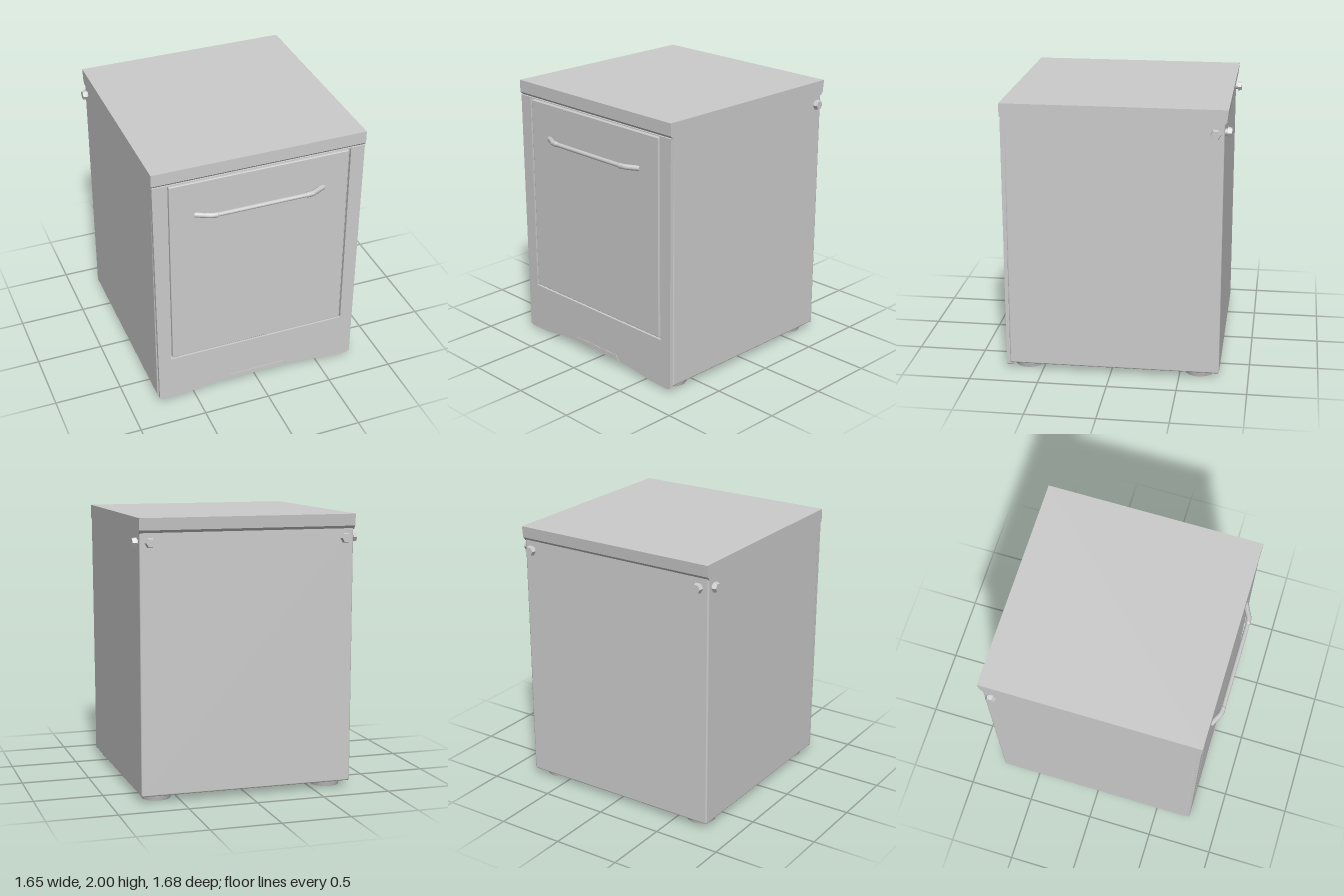
import * as THREE from 'three';
import { RoundedBoxGeometry } from 'three/addons/geometries/RoundedBoxGeometry.js';
import { toCreasedNormals } from 'three/addons/utils/BufferGeometryUtils.js';

const grey = new THREE.MeshStandardMaterial({ color: 0xcccccc });

function part(parent, name, geometry, x = 0, y = 0, z = 0) {
  const mesh = new THREE.Mesh(geometry, grey);
  mesh.name = name;
  mesh.position.set(x, y, z);
  parent.add(mesh);
  return mesh;
}

const polygon = (points) => new THREE.Shape(points.map(([x, y]) => new THREE.Vector2(x, y)));

function extrude(shape, depth) {
  return new THREE.ExtrudeGeometry(shape, { depth, bevelEnabled: false, curveSegments: 10 });
}

export function createModel() {
  const model = new THREE.Group();
  model.name = 'underCounterAppliance';

  // Cabinet core behind the front frame
  part(model, 'cabinet', new RoundedBoxGeometry(1.57, 1.88, 1.535, 2, 0.012), 0, 0.985, -0.0225);

  // Worktop: side profile with tucked lower edges, extruded across the width
  const topProfile = polygon([
    [-0.775, 2], [-0.775, 1.91], [-0.755, 1.89], [0.785, 1.89], [0.805, 1.915], [0.815, 2],
  ]);
  const topGeometry = extrude(topProfile, 1.58);
  topGeometry.rotateY(Math.PI / 2);
  part(model, 'worktop', topGeometry, -0.79);

  // Front frame with door opening and gently arched lower edge
  const frame = new THREE.Shape();
  frame.moveTo(-0.775, 0.035);
  frame.lineTo(-0.75, 0.02);
  frame.lineTo(-0.56, 0.025);
  frame.quadraticCurveTo(-0.38, 0.055, -0.24, 0.06);
  frame.lineTo(0.24, 0.06);
  frame.quadraticCurveTo(0.38, 0.055, 0.56, 0.025);
  frame.lineTo(0.75, 0.02);
  frame.lineTo(0.775, 0.035);
  frame.lineTo(0.785, 1.89);
  frame.lineTo(-0.785, 1.89);
  frame.closePath();
  frame.holes.push(new THREE.Path([
    new THREE.Vector2(-0.68, 0.385), new THREE.Vector2(-0.68, 1.885),
    new THREE.Vector2(0.68, 1.885), new THREE.Vector2(0.68, 0.385),
  ]));
  part(model, 'frontFrame', extrude(frame, 0.04), 0, 0, 0.73);

  // Door panel set in the opening with a narrow groove around it
  part(model, 'door', new RoundedBoxGeometry(1.332, 1.476, 0.05, 2, 0.006), 0, 1.135, 0.746);

  // Shallow tab in the middle of the plinth
  const tab = polygon([[-0.24, 0.062], [0.24, 0.062], [0.215, 0.1], [-0.215, 0.1]]);
  part(model, 'plinthTab', extrude(tab, 0.006), 0, 0, 0.768);

  // Door handle: straight bar with thicker ends bending back to the door
  const handle = new THREE.Group();
  handle.name = 'doorHandle';
  handle.position.y = 1.612;
  model.add(handle);
  const bar = new THREE.CylinderGeometry(0.016, 0.016, 0.76, 10);
  bar.rotateZ(Math.PI / 2);
  part(handle, 'handleBar', bar, 0, 0, 0.819);
  for (const side of [-1, 1]) {
    const bend = new THREE.CatmullRomCurve3([
      [0.48, 0.765], [0.43, 0.789], [0.38, 0.813], [0.34, 0.819],
    ].map(([x, z]) => new THREE.Vector3(side * x, 0, z)));
    part(handle, side > 0 ? 'leftHandleEnd' : 'rightHandleEnd', new THREE.TubeGeometry(bend, 10, 0.02, 8));
    const cap = new THREE.SphereGeometry(0.02, 10, 8);
    part(handle, 'handleEndCap', cap, side * 0.34, 0, 0.819);
  }

  // Hinge bolts near the rear upper corners: round shank plus hexagonal head
  function bolt(name, x, z, turn) {
    const group = new THREE.Group();
    group.name = name;
    group.position.set(x, 1.83, z);
    group.rotation.y = turn;
    model.add(group);
    const shank = new THREE.CylinderGeometry(0.025, 0.025, 0.03, 12);
    shank.rotateX(Math.PI / 2);
    part(group, 'boltShank', shank, 0, 0, 0.005);
    const head = new THREE.CylinderGeometry(0.032, 0.039, 0.03, 6);
    head.rotateY(Math.PI / 6);
    head.rotateX(Math.PI / 2);
    part(group, 'boltHead', toCreasedNormals(head, 0.4), 0, 0, 0.03);
  }
  for (const side of [-1, 1]) {
    const label = side > 0 ? 'left' : 'right';
    bolt(label + 'SideBolt', side * 0.78, -0.73, side * Math.PI / 2);
    bolt(label + 'BackBolt', side * 0.715, -0.793, Math.PI);
  }

  // Four low feet, each a rounded pad with a tapered rim
  const pad = new THREE.CylinderGeometry(0.12, 0.105, 0.055, 14);
  const padGeometry = toCreasedNormals(pad, 0.6);
  for (const x of [-1, 1]) {
    for (const z of [-1, 1]) {
      const name = (z > 0 ? 'front' : 'back') + (x > 0 ? 'Left' : 'Right') + 'Foot';
      part(model, name, padGeometry, x * 0.645, 0.0275, z > 0 ? 0.62 : -0.64);
    }
  }

  return model;
}
